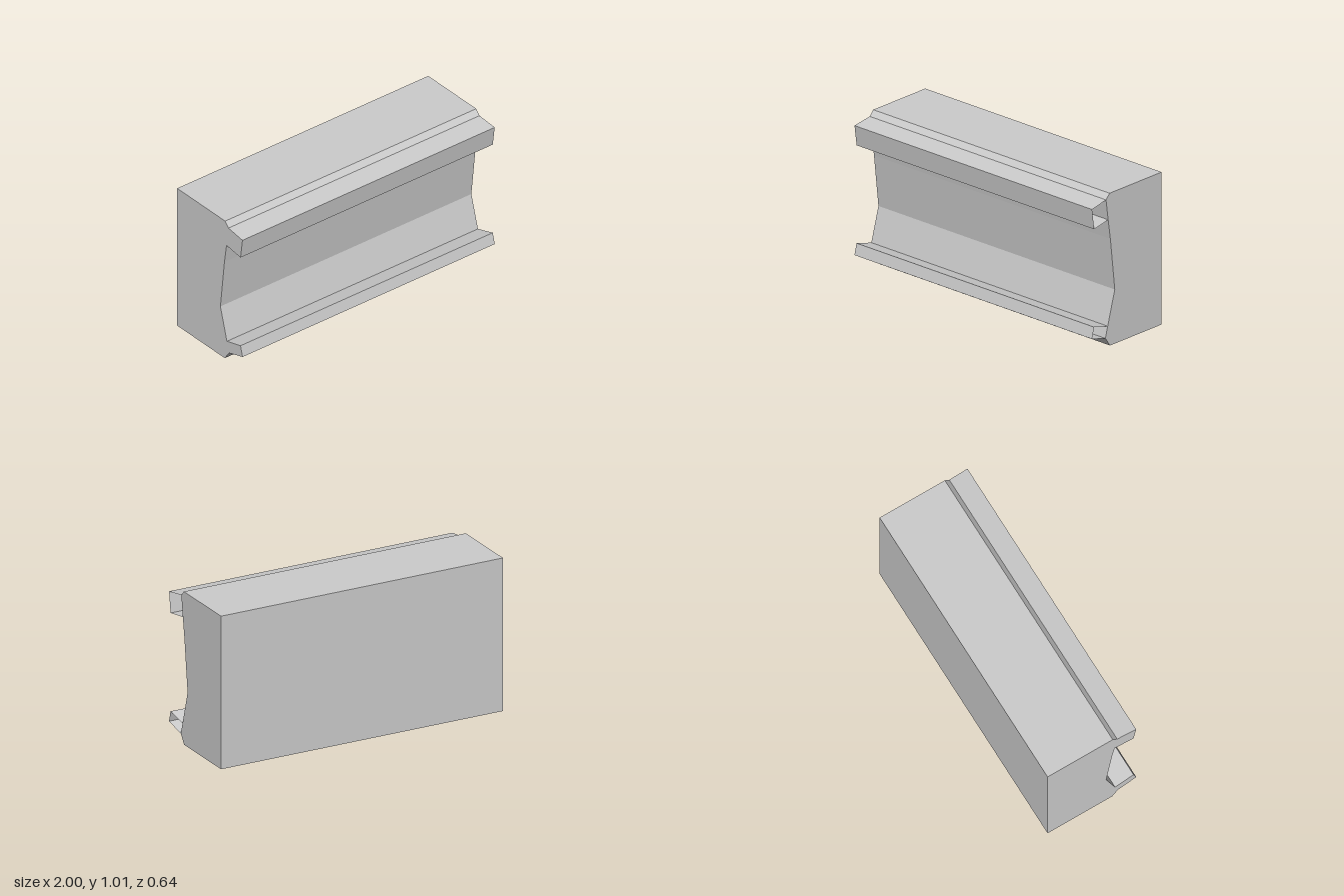
import * as THREE from 'three';

const LEFT_END = -1, BODY_END = 0.99, LIP_END = 1;

// Lip with an open +x end; corners are [z, y]: inner top, outer top, outer bottom, inner bottom
function makeLip(name, corners, material) {
  const near = corners.map(([z, y]) => [LEFT_END, y, z]);
  const far = corners.map(([z, y], i) => [i === 1 || i === 2 ? LIP_END : BODY_END, y, z]);
  const points = [];
  for (let i = 0; i < 3; i++) {
    points.push(near[i], near[i + 1], far[i], far[i], near[i + 1], far[i + 1]);
  }
  // Cap on the -x end
  points.push(near[0], near[2], near[1], near[0], near[3], near[2]);
  const geometry = new THREE.BufferGeometry();
  geometry.setAttribute('position', new THREE.Float32BufferAttribute(points.flat(), 3));
  geometry.computeVertexNormals();
  const mesh = new THREE.Mesh(geometry, material);
  mesh.name = name;
  return mesh;
}

export function createModel() {
  const group = new THREE.Group();
  group.name = 'channelBlock';
  const material = new THREE.MeshStandardMaterial({ color: 0xcccccc, flatShading: true });
  const lipMaterial = material.clone();
  lipMaterial.side = THREE.DoubleSide;

  // Main block: side profile as [z, y], swept along x
  const profile = [
    [-0.32, 0], [-0.32, 1.015], [0.15, 1.015], [0.182, 0.98], [0.163, 0.842],
    [0.143, 0.71], [0.103, 0.36], [0.167, 0.135], [0.188, 0.06], [0.146, 0],
  ];
  const shape = new THREE.Shape(profile.map(([z, y]) => new THREE.Vector2(-z, y)));
  const blockGeometry = new THREE.ExtrudeGeometry(shape, {
    depth: BODY_END - LEFT_END, bevelEnabled: false,
  });
  blockGeometry.rotateY(Math.PI / 2).translate(LEFT_END, 0, 0);
  const block = new THREE.Mesh(blockGeometry, material);
  block.name = 'mainBlock';
  group.add(block);

  // Two slanted lips along the front
  group.add(makeLip('upperLip', [[0.182, 0.98], [0.319, 0.96], [0.3, 0.823], [0.163, 0.842]], lipMaterial));
  group.add(makeLip('lowerLip', [[0.167, 0.135], [0.3, 0.171], [0.32, 0.098], [0.188, 0.06]], lipMaterial));

  return group;
}
